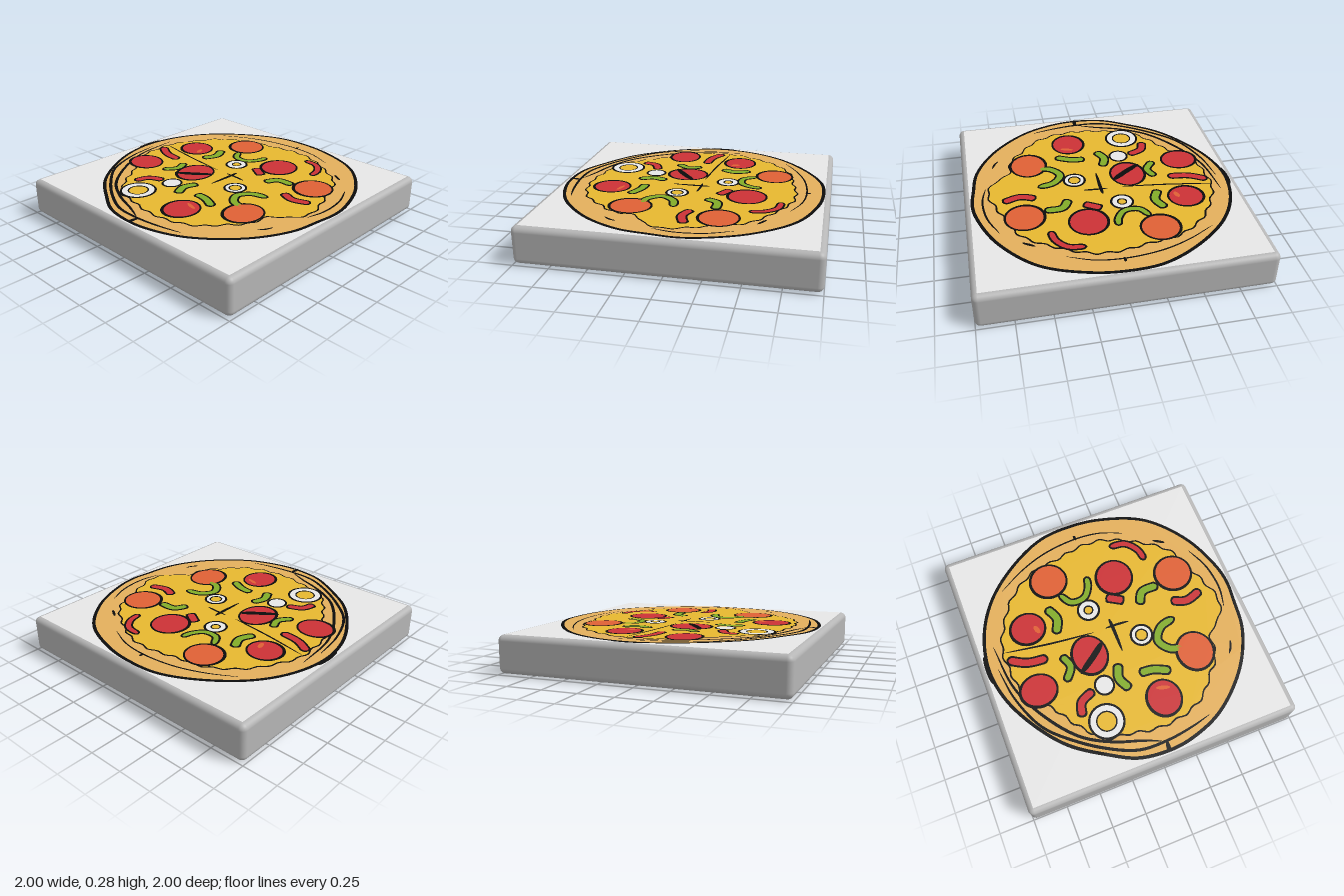
import * as THREE from 'three';
import { RoundedBoxGeometry } from 'three/addons/geometries/RoundedBoxGeometry.js';

const mat = (name, color) => {
  const m = new THREE.MeshStandardMaterial({ color });
  m.name = name;
  return m;
};
const HALF = 0.132; // half height of the block; printed layers rise to 0.14
const STEP = 0.001;

// All plan coordinates are [x, z]; shapes use y = -z and are laid flat.
const spline = (pts, closed, n) =>
  new THREE.CatmullRomCurve3(pts.map(([x, z]) => new THREE.Vector3(x, -z, 0)), closed).getPoints(n);
const toShape = (pts) => new THREE.Shape(pts.map((p) => new THREE.Vector2(p.x, p.y)));

// Closed blob, grown by a margin, with optional scalloped edge
function blob(pts, grow = 0, wave = 0, lobes = 0) {
  const out = spline(pts, true, 220).map((p) => {
    const a = Math.atan2(p.y, p.x);
    const r = Math.hypot(p.x, p.y) + grow + wave * Math.sin(a * lobes);
    return new THREE.Vector2(r * Math.cos(a), r * Math.sin(a));
  });
  return toShape(out.slice(0, -1));
}

// Curved strip with rounded ends (end = share of each half that narrows)
function stroke(pts, width, end = 0.25, grow = 0) {
  const c = spline(pts, false, 40);
  const left = [], right = [];
  c.forEach((p, i) => {
    const d = c[Math.min(i + 1, 40)].clone().sub(c[Math.max(i - 1, 0)]).normalize();
    const u = Math.abs(i / 20 - 1);
    const k = Math.max(0, (u - 1 + end) / end);
    const w = (width / 2 + grow) * Math.sqrt(Math.max(0.02, 1 - k * k));
    const q = p.clone().addScaledVector(d, grow * (i / 20 - 1));
    left.push(new THREE.Vector2(q.x - d.y * w, q.y + d.x * w));
    right.unshift(new THREE.Vector2(q.x + d.y * w, q.y - d.x * w));
  });
  return toShape([...left, ...right]);
}

function oval(x, z, rx, rz, turn = 0) {
  const s = new THREE.Shape();
  s.absellipse(x, -z, rx, rz, 0, Math.PI * 2, false, turn);
  return s;
}
function ring(x, z, outer, inner) {
  const s = oval(x, z, outer, outer);
  s.holes.push(oval(x, z, inner, inner));
  return s;
}

const EDGE = [[0, -.96], [.25, -.93], [.57, -.80], [.81, -.53], [.93, -.24], [.955, -.08], [.94, .08],
  [.90, .32], [.75, .59], [.48, .83], [.22, .93], [.03, .95], [-.18, .92], [-.37, .82], [-.61, .65],
  [-.80, .40], [-.91, .16], [-.945, -.08], [-.89, -.35], [-.75, -.59], [-.51, -.80], [-.24, -.935]];
const CHEESE = [[.03, -.75], [.19, -.74], [.32, -.69], [.54, -.56], [.64, -.47], [.72, -.28], [.77, -.15],
  [.82, .04], [.76, .17], [.65, .26], [.62, .42], [.53, .53], [.4, .67], [.24, .74], [.03, .76],
  [-.19, .72], [-.32, .70], [-.48, .54], [-.6, .36], [-.75, .2], [-.79, -.03], [-.79, -.18],
  [-.72, -.35], [-.6, -.53], [-.4, -.67], [-.19, -.71]];
// Ink lines: [width, points]
const CRUST_LINES = [
  [.022, [[-.87, -.05], [-.83, .2], [-.72, .46], [-.55, .63], [-.35, .77], [-.15, .86], [.05, .87], [.25, .845], [.4, .81]]],
  [.022, [[-.85, -.22], [-.81, .12], [-.69, .38], [-.5, .62], [-.3, .74], [-.1, .81], [.02, .86]]],
  [.012, [[-.65, -.62], [-.45, -.73], [-.25, -.8], [0, -.83], [.2, -.81], [.38, -.74]]],
  [.014, [[.78, -.42], [.85, -.25], [.87, -.05], [.84, .1]]],
  [.016, [[.72, .45], [.75, .41], [.77, .36]]],
  [.02, [[.56, -.6], [.6, -.575], [.64, -.55]]],
  [.02, [[.01, -.86], [.01, -.82]]],
  [.03, [[.04, .95], [.05, .87]]],
];
const SLICE_LINES = [
  [.014, [[-.79, -.15], [-.45, -.095], [-.13, -.06]]],
  [.025, [[.01, -.12], [.012, -.05], [.01, .15]]],
  [.018, [[-.04, -.06], [.05, -.058], [.14, -.05]]],
];
// Round slices: [x, z, rx, rz]
const ORANGE = [[-.30, -.57, .128, .125], [.595, -.29, .13, .13], [.50, .34, .125, .138]];
const RED = [[.17, -.42, .127, .13], [-.57, -.265, .12, .112], [-.65, .205, .125, .11],
  [-.22, .09, .12, .14], [.155, .58, .115, .125]];
const RINGS = [[-.285, .59, .115, .075], [-.105, -.24, .07, .037], [.185, .085, .07, .048]];
// Pepper strips: [width, points]
const GREEN = [
  [.036, [[-.26, -.43], [-.2, -.345], [-.1, -.345], [-.04, -.42], [-.025, -.49]]],
  [.05, [[-.385, -.36], [-.345, -.26], [-.385, -.16]]],
  [.05, [[.27, -.15], [.32, -.23], [.44, -.24]]],
  [.045, [[.45, .05], [.34, .08], [.28, .17], [.34, .26], [.42, .28]]],
  [.042, [[-.41, .03], [-.38, .12], [-.44, .21]]],
  [.05, [[-.06, .235], [-.09, .33], [-.05, .425]]],
  [.048, [[.07, .35], [.16, .36], [.27, .41]]],
];
const CHILI = [
  [.036, [[.24, -.67], [.35, -.65], [.42, -.57], [.44, -.48]]],
  [.05, [[.06, -.28], [.11, -.25], [.16, -.22]]],
  [.05, [[.5, -.08], [.6, -.045], [.72, -.08]]],
  [.05, [[-.78, -.085], [-.66, -.02], [-.52, 0]]],
  [.048, [[-.3, .35], [-.4, .4], [-.43, .49]]],
];

export function createModel() {
  const sideGrey = mat('side grey', 0xb6b6b6);
  const white = mat('white', 0xfafafa);
  const ink = mat('ink black', 0x0b0b0b);
  const crustTan = mat('crust tan', 0xe4b05c);
  const cheeseYellow = mat('cheese yellow', 0xf3c233);
  const red = mat('salami red', 0xcc3236);
  const orange = mat('salami orange', 0xe06135);
  const green = mat('pepper green', 0x82ac28);

  const model = new THREE.Group();
  model.name = 'pizzaBlock';

  // Rounded block
  const block = new THREE.Mesh(new RoundedBoxGeometry(2, HALF * 2, 2, 4, 0.04), sideGrey);
  block.name = 'block';
  block.position.y = 0.14;
  model.add(block);

  // One printed face, built in thin layers
  const face = new THREE.Group();
  face.name = 'topFace';
  face.position.y = 0.14;
  const layer = (name, shapes, material, level) => {
    const g = new THREE.ShapeGeometry(shapes, 32).rotateX(-Math.PI / 2);
    const m = new THREE.Mesh(g, material);
    m.name = name;
    m.position.y = HALF + level * STEP;
    face.add(m);
  };
  const strips = (list, end, grow) => list.map(([w, p]) => stroke(p, w, end, grow));

  const square = toShape([[-1, -1], [1, -1], [1, 1], [-1, 1]].map(([x, y]) => new THREE.Vector2(x * .96, y * .96)));
  layer('panel', [square], white, 1);
  layer('crustOutline', [blob(EDGE), oval(-.935, -.07, .022, .11)], ink, 2);
  layer('crust', [blob(EDGE, -.024)], crustTan, 3);
  layer('crustLines', strips(CRUST_LINES, .9, 0), ink, 4);
  layer('cheeseOutline', [blob(CHEESE, .012, .01, 34)], ink, 4);
  layer('cheese', [blob(CHEESE, 0, .01, 34)], cheeseYellow, 5);
  layer('sliceLines', strips(SLICE_LINES, .95, 0), ink, 6);

  // Ink outlines behind every topping
  const grown = [...ORANGE, ...RED].map(([x, z, a, b]) => oval(x - .003, z + .003, a + .018, b + .018));
  layer('toppingOutlines', [
    ...grown,
    ...RINGS.map(([x, z, a, b]) => ring(x, z, a + .016, b - .01)),
    oval(-.205, .34, .075, .078),
    ...strips([...GREEN, ...CHILI], .25, .014),
  ], ink, 6);

  // Toppings
  layer('orangeSalami', ORANGE.map((d) => oval(...d)), orange, 7);
  layer('redSalami', RED.map((d) => oval(...d)), red, 7);
  layer('greenPepper', strips(GREEN, .25, 0), green, 7);
  layer('redPepper', strips(CHILI, .25, 0), red, 7);
  layer('onionAndMushroom', [...RINGS.map((r) => ring(...r)), oval(-.205, .34, .06, .062)], white, 7);
  layer('salamiCut', [stroke([[-.33, .2], [-.2, .11], [-.1, .03]], .045, .7)], ink, 8);
  layer('salamiHighlights', [oval(-.51, -.235, .018, .035, .3), oval(.175, .51, .05, .014, -.3)], orange, 8);
  model.add(face);

  // Same print on the underside, turned over about the front-back axis
  const under = face.clone();
  under.name = 'bottomFace';
  under.rotation.z = Math.PI;
  model.add(under);
  return model;
}
